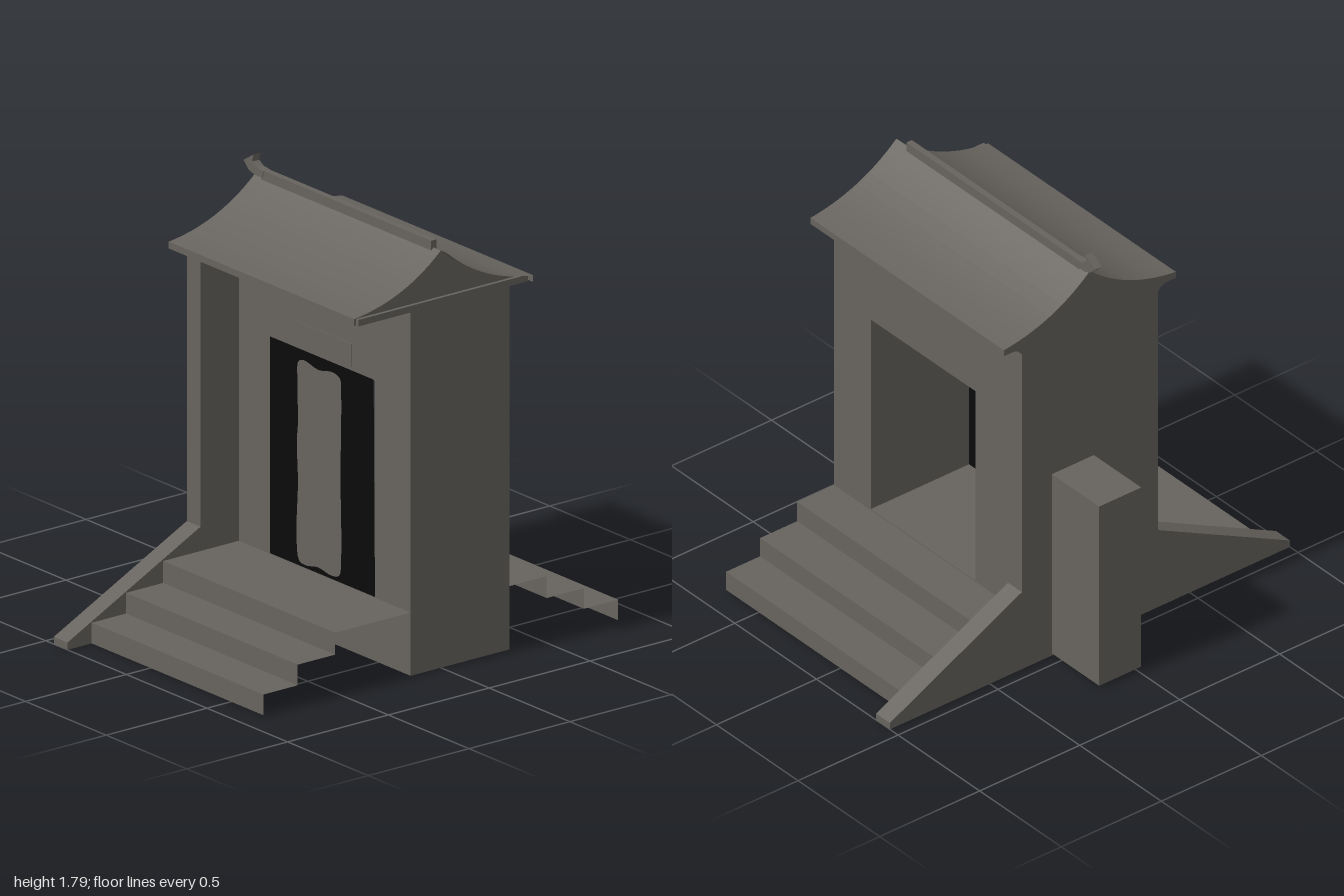
import * as THREE from 'three';

const stone = new THREE.MeshStandardMaterial({ color: 0x67635e, side: THREE.DoubleSide });
stone.name = 'grey stone';
const black = new THREE.MeshStandardMaterial({ color: 0x0b0b0b, side: THREE.DoubleSide });
black.name = 'black lacquer';

const toShape = (pts) => new THREE.Shape(pts.map(([x, y]) => new THREE.Vector2(x, y)));

export function createModel() {
  const model = new THREE.Group();
  model.name = 'gatehouse';

  const add = (name, geometry, material = stone) => {
    const mesh = new THREE.Mesh(geometry, material);
    mesh.name = name;
    model.add(mesh);
    return mesh;
  };
  const box = (name, x0, x1, y0, y1, z0, z1) =>
    add(name, new THREE.BoxGeometry(x1 - x0, y1 - y0, z1 - z0)
      .translate((x0 + x1) / 2, (y0 + y1) / 2, (z0 + z1) / 2));
  // Extrudes a (z, y) profile along x
  const extrudeX = (name, pts, x0, x1) =>
    add(name, new THREE.ExtrudeGeometry(toShape(pts), { depth: x1 - x0, bevelEnabled: false })
      .rotateY(-Math.PI / 2).translate(x1, 0, 0));
  // Open sheet following a (z, y) path from front to back
  const sheetX = (name, pts, x0, x1) => {
    const pos = [];
    for (let i = 0; i < pts.length - 1; i++) {
      const [[z, y], [w, v]] = [pts[i], pts[i + 1]];
      pos.push(x0, y, z, x1, y, z, x1, v, w, x0, y, z, x1, v, w, x0, v, w);
    }
    const g = new THREE.BufferGeometry();
    g.setAttribute('position', new THREE.Float32BufferAttribute(pos, 3));
    g.computeVertexNormals();
    return add(name, g);
  };
  const mirror = (pts) => pts.map(([z, y]) => [-z, y]).reverse();

  // Wall pierced by the doorway
  const wall = toShape([[-0.365, 0], [0.7, 0], [0.7, 1.5], [-0.365, 1.5]]);
  wall.holes.push(toShape([[-0.165, 0.265], [-0.165, 1.15], [0.475, 1.15], [0.475, 0.265]]));
  add('wall', new THREE.ExtrudeGeometry(wall, { depth: 0.49, bevelEnabled: false }).translate(0, 0, -0.34));

  // Side wall with sloping stair flanks and coved top
  const half = [[1, 0], [1, 0.03], [0.34, 0.36], [0.34, 1.47], [0.352, 1.49], [0.38, 1.5]];
  extrudeX('sideWall', [...half, ...mirror(half)], -0.45, -0.365);

  // Stairs on both sides
  const steps = [[0.88, 0], [0.88, 0.085], [0.71, 0.085], [0.71, 0.17], [0.525, 0.17], [0.525, 0.26]];
  sheetX('frontSteps', [...steps, [0.15, 0.26]], -0.365, 0.7);
  sheetX('backSteps', mirror([...steps, [0.34, 0.26]]), -0.365, 0.7);

  // Side block
  box('sideBlock', -0.74, -0.45, 0.01, 0.847, -0.19, 0.02);

  // Door: a dark leaf around a ragged pale panel
  const ragged = new THREE.CatmullRomCurve3([
    [0.01, 0.285], [0.05, 0.275], [0.13, 0.288], [0.21, 0.277], [0.26, 0.29], [0.272, 0.36],
    [0.268, 0.7], [0.272, 1.05], [0.265, 1.1], [0.22, 1.115], [0.13, 1.1], [0.04, 1.115],
    [0.005, 1.1], [0, 1.03], [0.004, 0.85], [-0.003, 0.77], [0.004, 0.6], [-0.005, 0.4],
  ].map(([x, y]) => new THREE.Vector3(x, y, 0)), true).getPoints(72).slice(0, -1).map((p) => [p.x, p.y]);
  const leaf = toShape([[-0.168, 0.264], [0.482, 0.264], [0.473, 1.155], [-0.168, 1.155]]);
  leaf.holes.push(toShape(ragged));
  add('doorLeaf', new THREE.ShapeGeometry(leaf), black).position.z = 0.152;
  add('doorPanel', new THREE.ShapeGeometry(toShape(ragged))).position.z = 0.152;

  // Plaque over the door
  box('plaque', -0.025, 0.338, 1.17, 1.265, 0.148, 0.154);

  // Concave gabled roof
  const slope = new THREE.QuadraticBezierCurve(
    new THREE.Vector2(0.43, 1.528), new THREE.Vector2(0.18, 1.555), new THREE.Vector2(0, 1.715),
  ).getPoints(14).map((p) => [p.x, p.y]);
  extrudeX('roof', [[0.43, 1.5], ...slope, ...mirror(slope).slice(1), [-0.43, 1.5]], -0.45, 0.7);
  box('eaveSlab', 0.69, 0.715, 1.5, 1.527, -0.42, 0.42);
  sheetX('backRoofOverhang', mirror([[0.43, 1.5], ...slope]), 0.7, 0.735);

  // Ridge with an upturned end
  box('ridge', -0.4, 0.655, 1.705, 1.745, -0.015, 0.012);
  const horn = toShape([[-0.505, 1.757], [-0.475, 1.728], [-0.44, 1.715], [-0.39, 1.715],
    [-0.38, 1.744], [-0.42, 1.748], [-0.45, 1.765], [-0.445, 1.795]]);
  add('ridgeHorn', new THREE.ExtrudeGeometry(horn, { depth: 0.034, bevelEnabled: false }).translate(0, 0, -0.019));

  return model;
}
